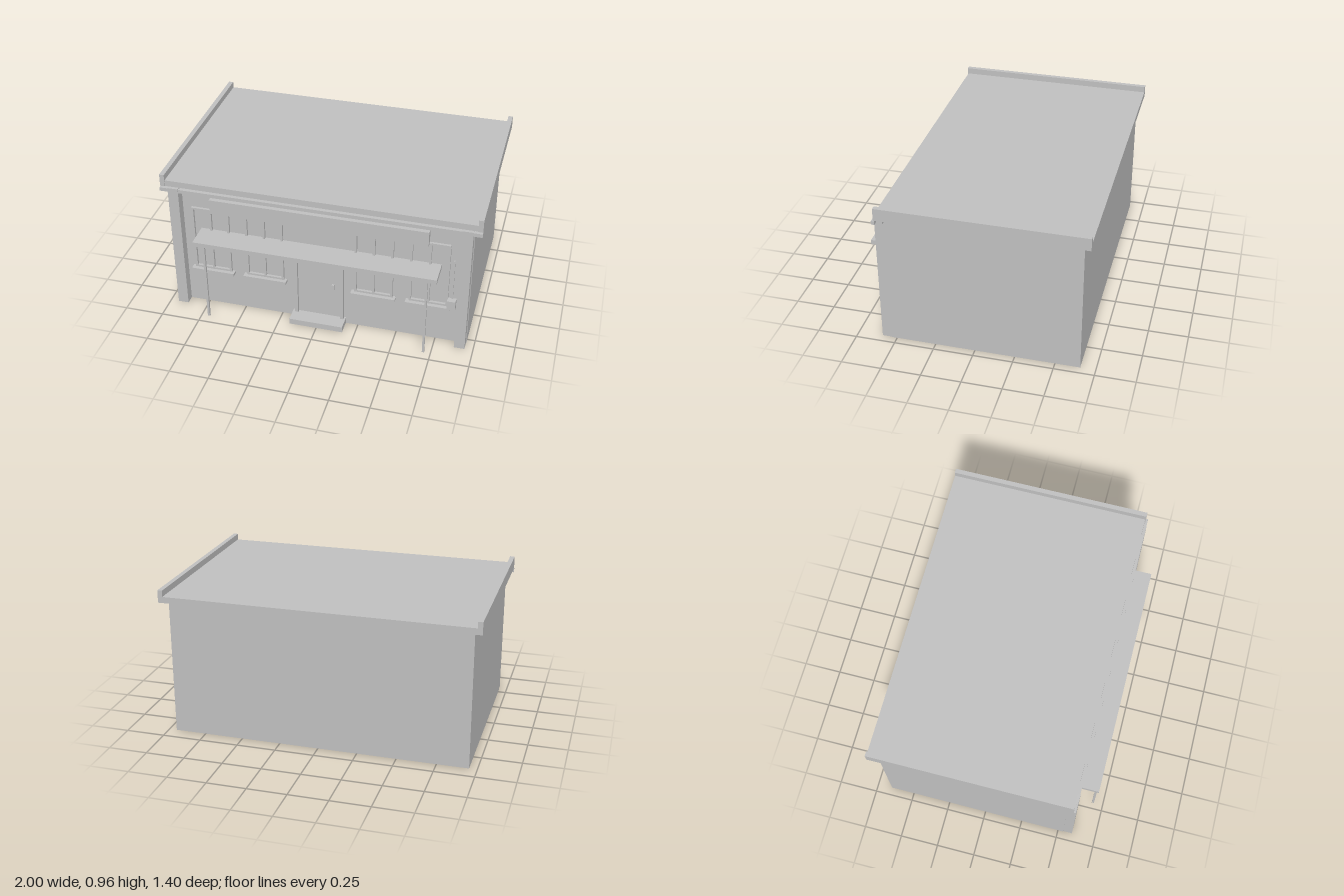
import * as THREE from 'three';

export function createModel() {
  const model = new THREE.Group();
  model.name = 'building';
  const grey = new THREE.MeshStandardMaterial({ color: 0xc0c0c0 });
  grey.name = 'plain grey';
  const WALL = 0.535; // front wall plane

  // Box given by its extents on each axis
  function box(name, x0, x1, y0, y1, z0, z1, parent = model) {
    const mesh = new THREE.Mesh(new THREE.BoxGeometry(x1 - x0, y1 - y0, z1 - z0), grey);
    mesh.position.set((x0 + x1) / 2, (y0 + y1) / 2, (z0 + z1) / 2);
    mesh.name = name;
    parent.add(mesh);
    return mesh;
  }

  // Main body and roof
  box('walls', -0.95, 0.95, 0, 0.88, -0.655, WALL);
  box('roofSlab', -0.972, 0.972, 0.88, 0.92, -0.7, 0.575);
  box('gutter', -1, 1, 0.852, 0.876, 0.573, 0.593);
  box('fascia', -0.97, 0.97, 0.842, 0.872, WALL, 0.573);

  // Mirrored pairs
  for (const s of [-1, 1]) {
    const pair = (name, a, b, ...rest) => box(name, Math.min(s * a, s * b), Math.max(s * a, s * b), ...rest);
    pair('roofParapet', 0.97, 1, 0.88, 0.96, -0.7, 0.58);
    pair('cornerPilaster', 0.88, 0.947, 0, 0.88, WALL, 0.595);
    pair('canopyPost', 0.696, 0.71, 0, 0.546, 0.675, 0.69);
    pair('doorJamb', 0.139, 0.159, 0.045, 0.546, WALL, 0.56);
  }

  // Sign board and canopy
  box('signBoard', -0.69, 0.685, 0.72, 0.82, WALL, 0.575);
  box('canopy', -0.768, 0.765, 0.546, 0.576, WALL, 0.7);

  // Entrance
  box('doorStep', -0.175, 0.172, 0.006, 0.045, WALL, 0.64);
  box('doorPanel', -0.139, 0.139, 0.045, 0.546, WALL, 0.54);
  box('doorHandle', 0.083, 0.098, 0.26, 0.298, 0.54, 0.555);

  // Two-pane windows with a centre mullion and sill
  for (const cx of [-0.7, -0.353, 0.349, 0.695]) {
    const win = new THREE.Group();
    win.name = 'window';
    win.position.x = cx;
    model.add(win);
    for (const x of [-0.115, 0, 0.115])
      box('windowUpright', x - 0.007, x + 0.007, 0.278, 0.73, WALL, 0.552, win);
    box('windowHead', -0.122, 0.122, 0.716, 0.73, WALL, 0.551, win);
    box('windowBottomRail', -0.122, 0.122, 0.278, 0.291, WALL, 0.551, win);
    box('windowSill', -0.141, 0.141, 0.26, 0.278, WALL, 0.575, win);
  }

  // Wall box with its conduit
  box('wallBox', 0.815, 0.868, 0.27, 0.335, WALL, 0.575);
  box('conduit', 0.838, 0.846, 0.335, 0.62, WALL, 0.545);

  return model;
}
